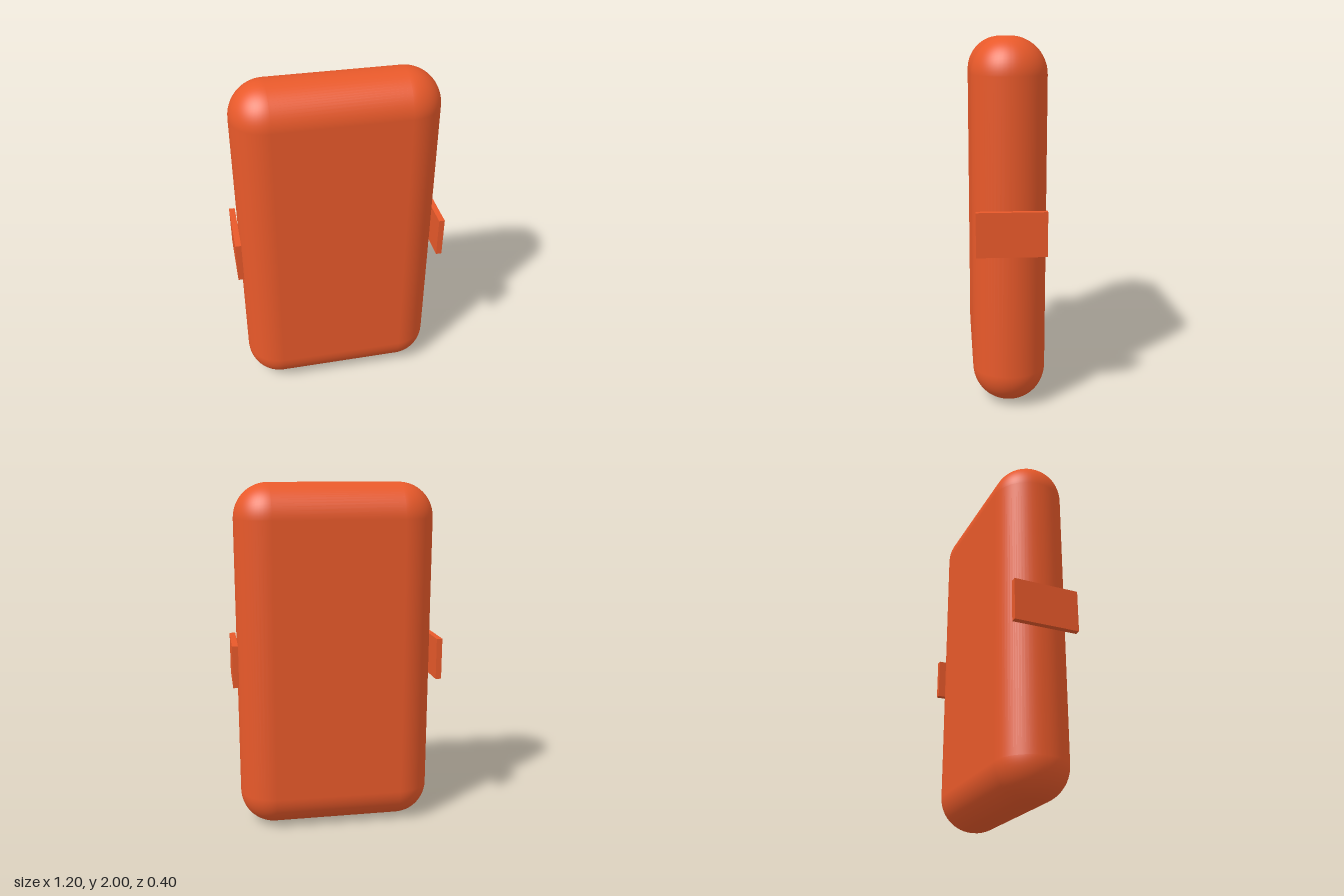
import * as THREE from 'three';
import { RoundedBoxGeometry } from 'three/addons/geometries/RoundedBoxGeometry.js';

export function createModel() {
  const model = new THREE.Group();
  model.name = 'roundedCase';
  const material = new THREE.MeshStandardMaterial({ color: 0xe8592a });

  const width = 1.134, height = 2, depth = 0.4;

  // Pillow-edged slab, rounded over its full thickness
  const body = new THREE.Mesh(new RoundedBoxGeometry(width, height, depth, 8, 0.198), material);
  body.name = 'body';
  body.position.y = height / 2;
  model.add(body);

  // Thin plate against the middle of each side
  const plateThickness = 0.033;
  const plateGeometry = new THREE.BoxGeometry(plateThickness, 0.238, 0.37);
  for (const [name, side] of [['leftSidePlate', 1], ['rightSidePlate', -1]]) {
    const plate = new THREE.Mesh(plateGeometry, material);
    plate.name = name;
    plate.position.set(side * (width + plateThickness) / 2, 1.003, 0);
    model.add(plate);
  }

  return model;
}
